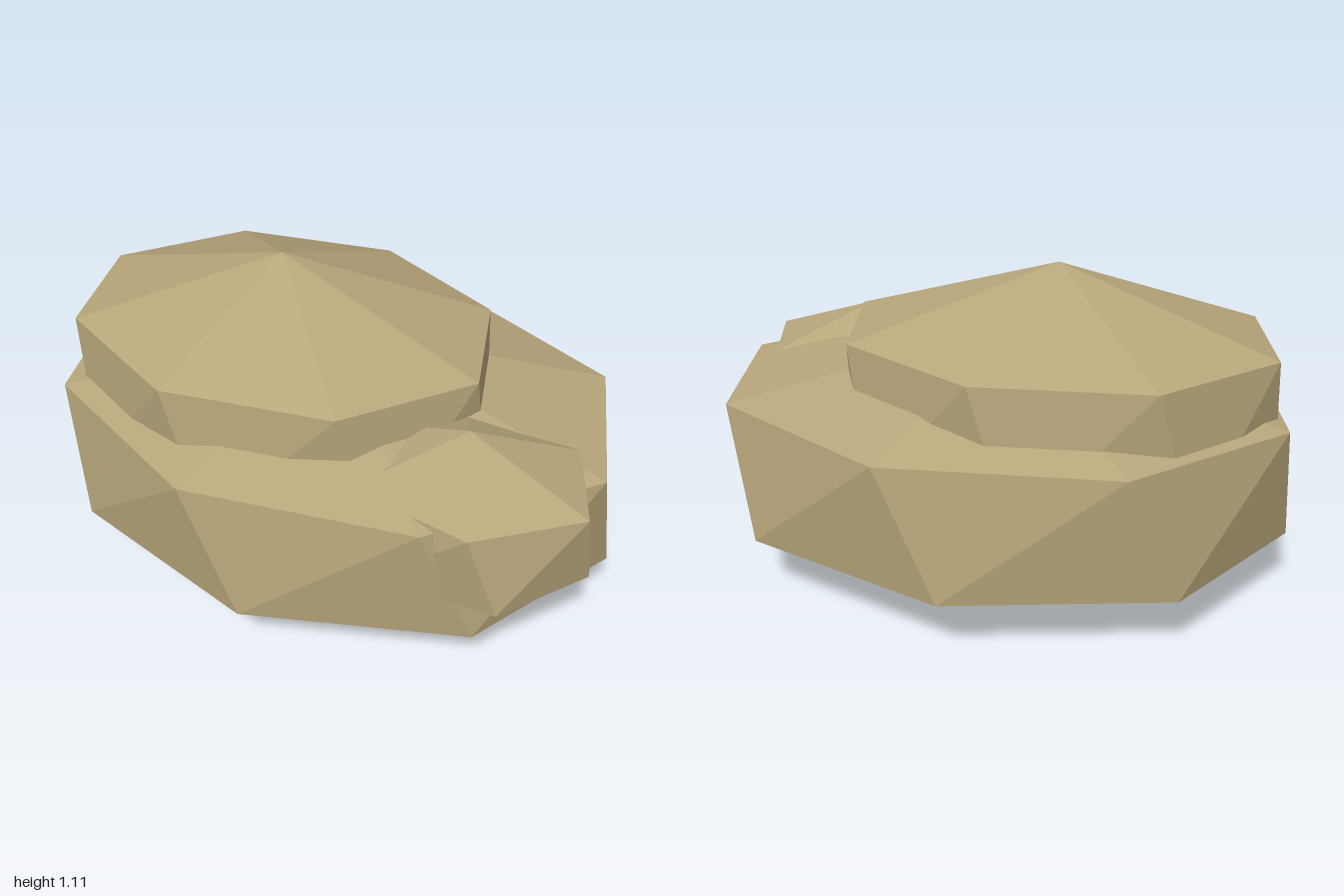
import * as THREE from 'three';

const stone = new THREE.MeshStandardMaterial({ color: 0xb8a67b });
stone.name = 'sandstone';

// Faceted boulder: two rings, the upper one twisted, closed by a point above and below.
function boulder(name, { sides, rx, rz, height, twist, position }) {
  const ring = (y, offset) => Array.from({ length: sides }, (_, i) => {
    const a = offset + (i / sides) * Math.PI * 2;
    return [Math.cos(a) * rx, y, Math.sin(a) * rz];
  });
  const lower = ring(height * 0.25, 0);
  const upper = ring(height * 0.75, twist);
  const bottom = [0, 0, 0];
  const top = [0, height, 0];

  const points = [];
  for (let i = 0; i < sides; i++) {
    const next = (i + 1) % sides;
    const prev = (i + sides - 1) % sides;
    points.push(
      top, upper[next], upper[i],
      lower[i], upper[prev], upper[i],
      lower[i], upper[i], lower[next],
      bottom, lower[i], lower[next],
    );
  }

  // Unshared corners give each facet its own flat normal
  const geometry = new THREE.BufferGeometry();
  geometry.setAttribute('position', new THREE.Float32BufferAttribute(points.flat(), 3));
  geometry.computeVertexNormals();

  const mesh = new THREE.Mesh(geometry, stone);
  mesh.name = name;
  mesh.position.set(...position);
  return mesh;
}

export function createModel() {
  const group = new THREE.Group();
  group.name = 'rockCluster';
  group.add(
    // Broad stone on the ground
    boulder('baseRock', {
      sides: 8, rx: 1, rz: 0.747, height: 0.87, twist: 0.2, position: [0, 0, 0],
    }),
    // Smaller slab sunk into its top
    boulder('upperRock', {
      sides: 8, rx: 0.75, rz: 0.58, height: 0.94, twist: 0.2, position: [-0.195, 0.165, 0],
    }),
    // Small stone at the front left corner
    boulder('sideRock', {
      sides: 6, rx: 0.418, rz: 0.33, height: 0.572, twist: 0.25, position: [0.578, 0.244, 0.29],
    }),
  );
  return group;
}
